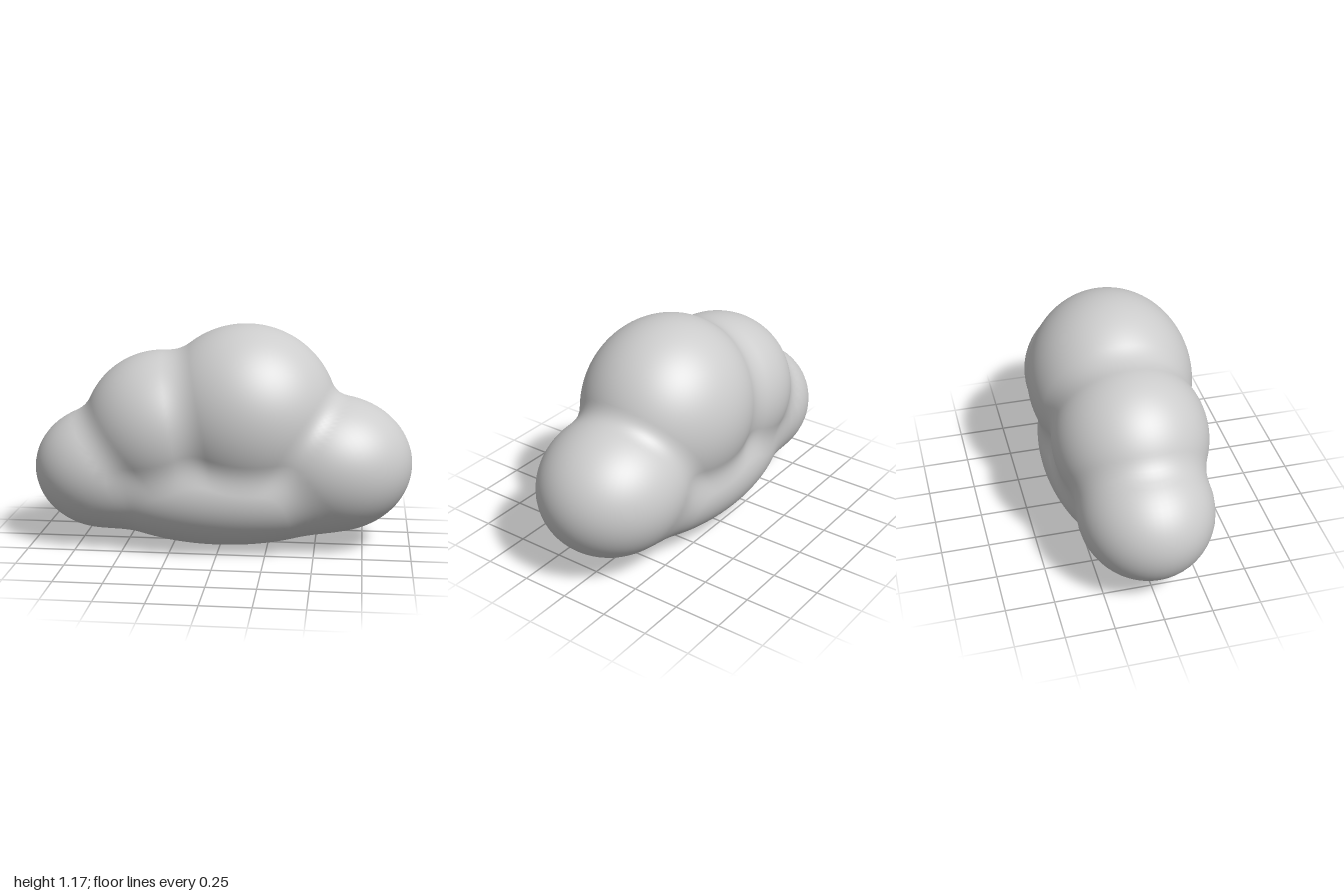
import * as THREE from 'three';

// Puffs of the cloud: centre x, y, then radii x, y, z
const PUFFS = [
  [0.13, 0.70, 0.48, 0.475, 0.435], // tall crown
  [-0.31, 0.62, 0.42, 0.41, 0.40],  // lower crown
  [-0.62, 0.40, 0.38, 0.33, 0.345], // end puff at -x
  [0.58, 0.45, 0.42, 0.36, 0.375],  // end puff at +x
  [0, 0.315, 0.76, 0.312, 0.40],    // wide base
];
const BLEND = 0.07;

// Approximate distance to one ellipsoid
function puffDistance(p, [cx, cy, rx, ry, rz]) {
  const x = (p.x - cx) / rx, y = (p.y - cy) / ry, z = p.z / rz;
  const a = Math.hypot(x, y, z);
  const b = Math.hypot(x / rx, y / ry, z / rz);
  return b < 1e-6 ? -Math.min(rx, ry, rz) : a * (a - 1) / b;
}

// Smoothly blended distance to all puffs
function cloudDistance(p) {
  let d = Infinity;
  for (const puff of PUFFS) {
    const e = puffDistance(p, puff);
    const h = Math.max(BLEND - Math.abs(d - e), 0) / BLEND;
    d = Math.min(d, e) - h * h * BLEND / 4;
  }
  return d;
}

// Surface direction from the slope of the distance
function cloudNormal(p) {
  const e = 0.002;
  const slope = (x, y, z) =>
    cloudDistance(new THREE.Vector3(p.x + x, p.y + y, p.z + z)) -
    cloudDistance(new THREE.Vector3(p.x - x, p.y - y, p.z - z));
  return new THREE.Vector3(slope(e, 0, 0), slope(0, e, 0), slope(0, 0, e)).normalize();
}

export function createModel() {
  const group = new THREE.Group();
  group.name = 'cloud';
  const cloudGrey = new THREE.MeshStandardMaterial({ color: 0xcccccc });
  cloudGrey.name = 'cloudGrey';

  // Shrink a sphere inwards along its rays until it meets the blended puffs
  const geometry = new THREE.SphereGeometry(1, 160, 120);
  const pos = geometry.attributes.position;
  const nor = geometry.attributes.normal;
  const centre = new THREE.Vector3(0.05, 0.5, 0);
  const dir = new THREE.Vector3(), p = new THREE.Vector3();
  for (let i = 0; i < pos.count; i++) {
    dir.fromBufferAttribute(pos, i).normalize();
    let r = 1.3;
    for (let step = 0; step < 120; step++) {
      p.copy(centre).addScaledVector(dir, r);
      const d = cloudDistance(p);
      if (Math.abs(d) < 1e-5) break;
      r -= d * 0.8;
    }
    pos.setXYZ(i, p.x, p.y, p.z);
    const n = cloudNormal(p);
    nor.setXYZ(i, n.x, n.y, n.z);
  }

  // Settle on the ground, centred
  geometry.computeBoundingBox();
  const box = geometry.boundingBox;
  geometry.translate(-(box.min.x + box.max.x) / 2, -box.min.y, -(box.min.z + box.max.z) / 2);

  const body = new THREE.Mesh(geometry, cloudGrey);
  body.name = 'cloudBody';
  group.add(body);
  return group;
}
